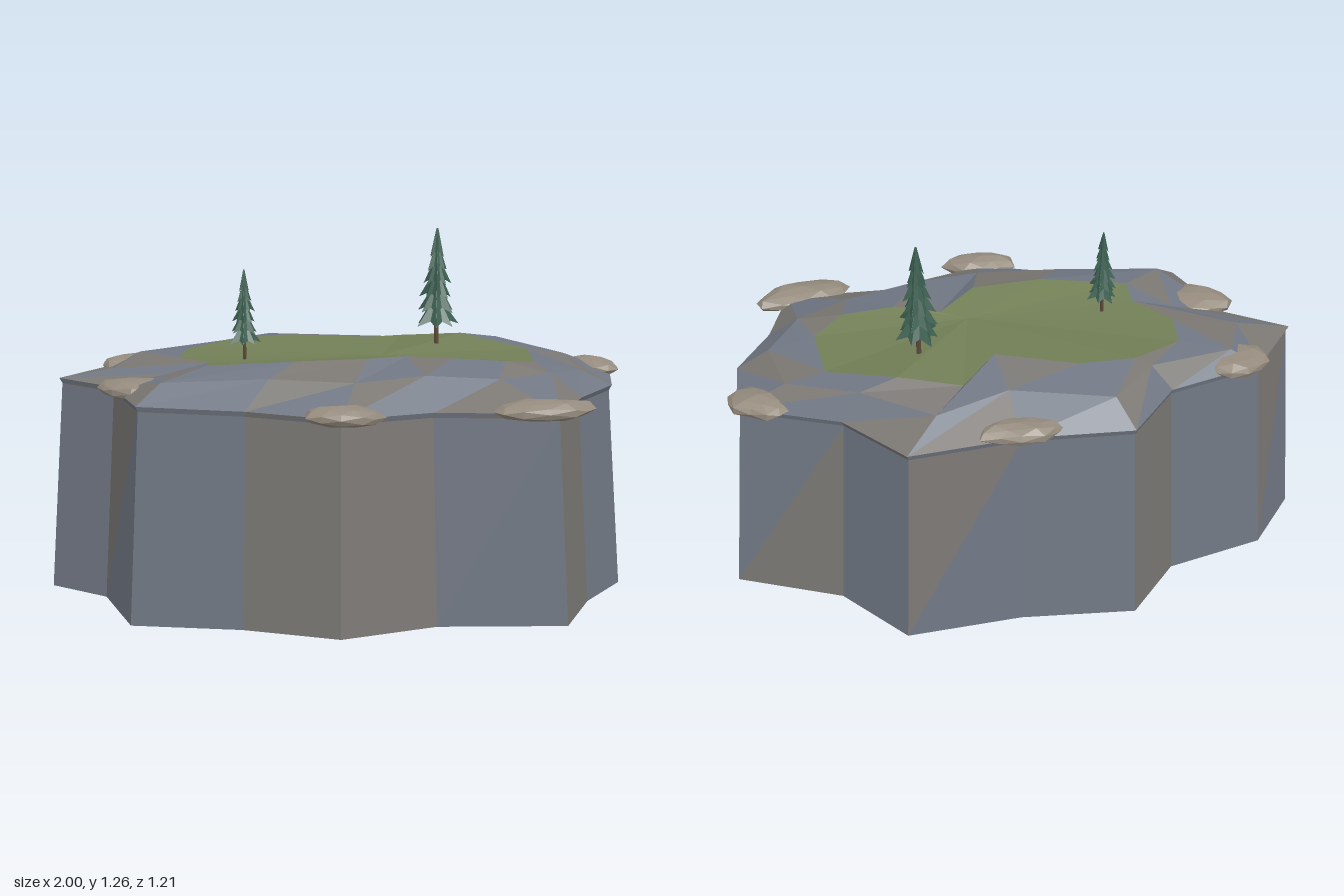
import * as THREE from 'three';

const material = (color) => new THREE.MeshStandardMaterial({ color, flatShading: true, roughness: 1 });
const COOL = material(0x717884), WARM = material(0x7b7874), GRASS = material(0x727f56);
const STONE = material(0x958b7e), NEEDLES = material(0x3c5f50), BARK = material(0x5a4838);

// Outline of the cliff foot [x, z], clockwise from the left tip as seen from above
const FOOT = [
  [-1, -0.01], [-0.84, -0.24], [-0.5, -0.35], [-0.33, -0.57], [0.06, -0.56], [0.45, -0.61],
  [0.65, -0.38], [1, -0.25], [0.99, 0], [0.87, 0.2], [0.79, 0.45], [0.36, 0.45],
  [0.05, 0.57], [-0.28, 0.47], [-0.66, 0.42], [-0.79, 0.12],
];
// Edge of the meadow [x, y, z], point for point with the foot
const MEADOW = [
  [-0.54, 0.83, -0.02], [-0.53, 0.83, -0.16], [-0.36, 0.85, -0.27], [-0.17, 0.86, -0.29],
  [0.1, 0.87, -0.21], [0.22, 0.85, -0.35], [0.43, 0.87, -0.3], [0.66, 0.84, -0.19],
  [0.68, 0.84, 0.03], [0.58, 0.86, 0.12], [0.4, 0.87, 0.13], [0.25, 0.865, 0.08],
  [0.12, 0.88, 0.2], [-0.12, 0.875, 0.23], [-0.42, 0.85, 0.2], [-0.42, 0.84, 0.1],
];
// Height of the rocky shoulder between rim and meadow
const SHOULDER = [0.79, 0.81, 0.835, 0.83, 0.84, 0.82, 0.85, 0.82, 0.81, 0.83, 0.83, 0.85, 0.835, 0.84, 0.82, 0.8];

const N = FOOT.length;

// Mesh from a list of triangles
function facets(name, triangles, mat) {
  const geo = new THREE.BufferGeometry();
  geo.setAttribute('position', new THREE.Float32BufferAttribute(triangles.flat(2), 3));
  geo.computeVertexNormals();
  const mesh = new THREE.Mesh(geo, mat);
  mesh.name = name;
  return mesh;
}

// Two triangles per side between a lower/outer and an upper/inner ring
function band(lower, upper) {
  const out = [];
  for (let i = 0; i < N; i++) {
    const j = (i + 1) % N;
    out.push([lower[j], lower[i], upper[i]], [lower[j], upper[i], upper[j]]);
  }
  return out;
}

function fan(ring, centre, down = false) {
  return ring.map((p, i) => {
    const q = ring[(i + 1) % N];
    return down ? [centre, p, q] : [centre, q, p];
  });
}

function createRock() {
  const group = new THREE.Group();
  group.name = 'plateau';
  const ring = (s, y) => FOOT.map(([x, z]) => [x * s, y, z * s]);
  const foot = FOOT.map(([x, z]) => [x, 0.025 * (x + 1), z]);
  const wallTop = ring(0.945, 0.737);
  const rim = ring(0.955, 0.755);
  const shoulder = MEADOW.map((m, i) => {
    const t = 0.55 + 0.12 * Math.sin(i * 2.4);
    return [m[0] + (rim[i][0] - m[0]) * t, SHOULDER[i], m[2] + (rim[i][2] - m[2]) * t];
  });

  // Walls and slopes alternate between cool and warm rock
  const split = (name, triangles, isWarm) => {
    group.add(facets(name + 'Cool', triangles.filter((t, i) => !isWarm(i)), COOL));
    group.add(facets(name + 'Warm', triangles.filter((t, i) => isWarm(i)), WARM));
  };
  split('cliffWall', band(foot, wallTop), (i) => [1, 4, 5, 9, 12, 18, 19, 22, 23, 24, 25, 29].includes(i));
  split('rimLip', band(wallTop, rim), (i) => i % 5 === 0);
  split('outerSlope', band(rim, shoulder), (i) => (i * 7) % 5 < 2);
  split('innerSlope', band(shoulder, MEADOW), (i) => (i * 5 + 1) % 7 < 3);
  group.add(facets('meadow', fan(MEADOW, [0.16, 0.858, 0.04]), GRASS));
  group.add(facets('underside', fan(foot, [0, 0.025, 0], true), COOL));
  return group;
}

// Flattened, uneven stone
function createBoulder(x, y, z, rx, ry, rz, turn, seed) {
  const geo = new THREE.IcosahedronGeometry(1, 1);
  const pos = geo.attributes.position;
  const v = new THREE.Vector3();
  for (let i = 0; i < pos.count; i++) {
    v.fromBufferAttribute(pos, i);
    const bump = 1 + 0.12 * Math.sin(v.x * 5 + seed) * Math.cos(v.z * 4 + seed * 2);
    v.multiplyScalar(bump);
    v.y = Math.max(v.y, -0.75);
    pos.setXYZ(i, v.x * rx, v.y * ry, v.z * rz);
  }
  geo.computeVertexNormals();
  const mesh = new THREE.Mesh(geo, STONE);
  mesh.name = 'boulder';
  mesh.position.set(x, y, z);
  mesh.rotation.y = turn;
  return mesh;
}

// Conifer with jagged, overlapping tiers
function createTree(x, z, base, top, radius) {
  const tree = new THREE.Group();
  tree.name = 'conifer';
  const h = top - base;
  const trunk = new THREE.Mesh(new THREE.CylinderGeometry(radius * 0.06, radius * 0.12, h * 0.8, 6), BARK);
  trunk.name = 'trunk';
  trunk.position.y = h * 0.4;
  tree.add(trunk);

  const tiers = 6, points = 14;
  for (let k = 0; k < tiers; k++) {
    const f = k / tiers;
    const r = radius * (1 - 0.78 * f);
    const y0 = h * (0.19 + 0.69 * f), height = k === tiers - 1 ? h - y0 : h * 0.23;
    const geo = new THREE.CylinderGeometry(r * 0.12, r, height, points, 1);
    const pos = geo.attributes.position;
    for (let i = 0; i < pos.count; i++) {
      if (pos.getY(i) > 0) continue;
      const px = pos.getX(i), pz = pos.getZ(i);
      if (Math.hypot(px, pz) < 1e-6) { pos.setY(i, -height * 0.2); continue; }
      const tip = Math.round((Math.atan2(px, pz) / (2 * Math.PI)) * points + points) % points;
      const odd = tip % 2;
      const s = odd ? 0.6 : 0.95 + 0.13 * Math.sin(tip * 1.7 + k * 2);
      pos.setXYZ(i, px * s, pos.getY(i) + (odd ? height * 0.18 : 0), pz * s);
    }
    const tier = new THREE.Mesh(geo, NEEDLES);
    tier.name = 'branchTier';
    tier.position.y = y0 + height / 2;
    tier.rotation.y = k * 0.9;
    tree.add(tier);
  }
  tree.position.set(x, base, z);
  return tree;
}

export function createModel() {
  const model = new THREE.Group();
  model.name = 'cliffPlateau';
  model.add(createRock());

  // Boulders along the rim
  [
    [-0.72, 0.765, -0.21, 0.12, 0.035, 0.09, 0.3],
    [-0.65, 0.765, 0.19, 0.145, 0.036, 0.09, -0.15],
    [0.05, 0.765, 0.54, 0.13, 0.036, 0.065, 0],
    [0.7, 0.765, 0.42, 0.17, 0.036, 0.075, 0.2],
    [0.88, 0.768, -0.24, 0.11, 0.036, 0.075, -0.5],
    [0.06, 0.765, -0.51, 0.145, 0.036, 0.062, 0],
  ].forEach((b, i) => model.add(createBoulder(...b, i + 1)));

  // Two conifers on the meadow
  model.add(createTree(0.345, -0.155, 0.85, 1.265, 0.078));
  model.add(createTree(-0.305, 0.048, 0.84, 1.15, 0.055));
  return model;
}
